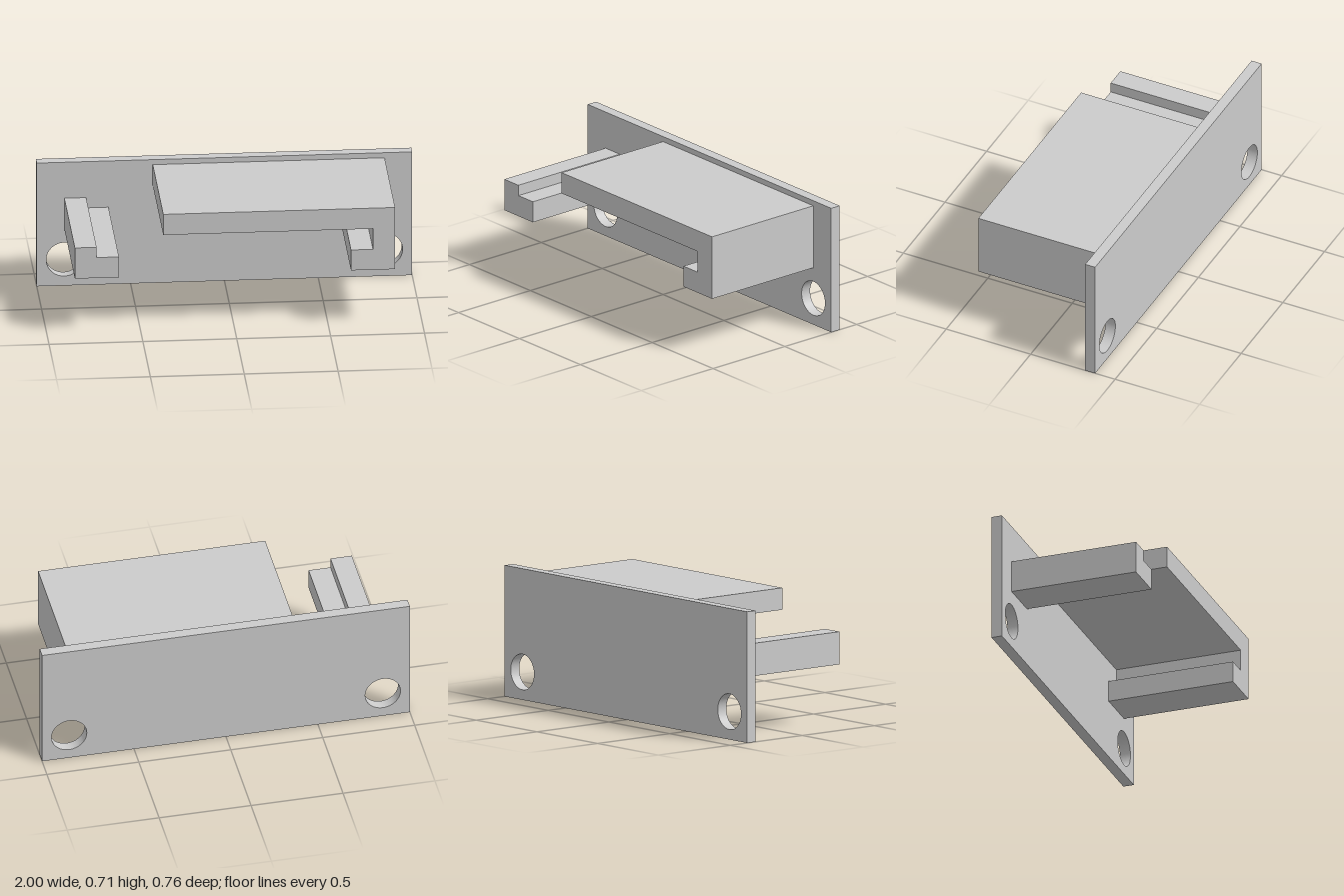
import * as THREE from 'three';

export function createModel() {
  const group = new THREE.Group();
  group.name = 'railBracket';
  const material = new THREE.MeshStandardMaterial({ color: 0xcccccc });
  const back = -0.382, plateFront = -0.323, front = 0.382;

  // Extrude a front-view outline between two depths
  function addExtrusion(name, points, z0, z1, holes = []) {
    const shape = new THREE.Shape(points.map(([x, y]) => new THREE.Vector2(x, y)));
    shape.holes.push(...holes);
    const geometry = new THREE.ExtrudeGeometry(shape, {
      depth: z1 - z0, bevelEnabled: false, curveSegments: 48,
    });
    geometry.translate(0, 0, z0);
    const mesh = new THREE.Mesh(geometry, material);
    mesh.name = name;
    group.add(mesh);
  }

  // Mounting plate with two screw holes
  const holes = [-1, 1].map((side) =>
    new THREE.Path().absarc(side * 0.853, 0.15, 0.096, 0, Math.PI * 2, true));
  addExtrusion('mountingPlate', [[-1, 0], [1, 0], [1, 0.706], [-1, 0.706]], back, plateFront, holes);

  // Stepped ledge on the right
  addExtrusion('steppedRail', [
    [-0.853, 0.324], [-0.618, 0.324], [-0.618, 0.441],
    [-0.737, 0.441], [-0.737, 0.5], [-0.853, 0.5],
  ], plateFront, front);

  // Wide top shelf that turns down into a hooked lip on the left
  addExtrusion('hookedShelf', [
    [-0.382, 0.559], [0.735, 0.559], [0.735, 0.441], [0.618, 0.441],
    [0.618, 0.324], [0.853, 0.324], [0.853, 0.677], [-0.382, 0.677],
  ], plateFront, front);

  return group;
}
